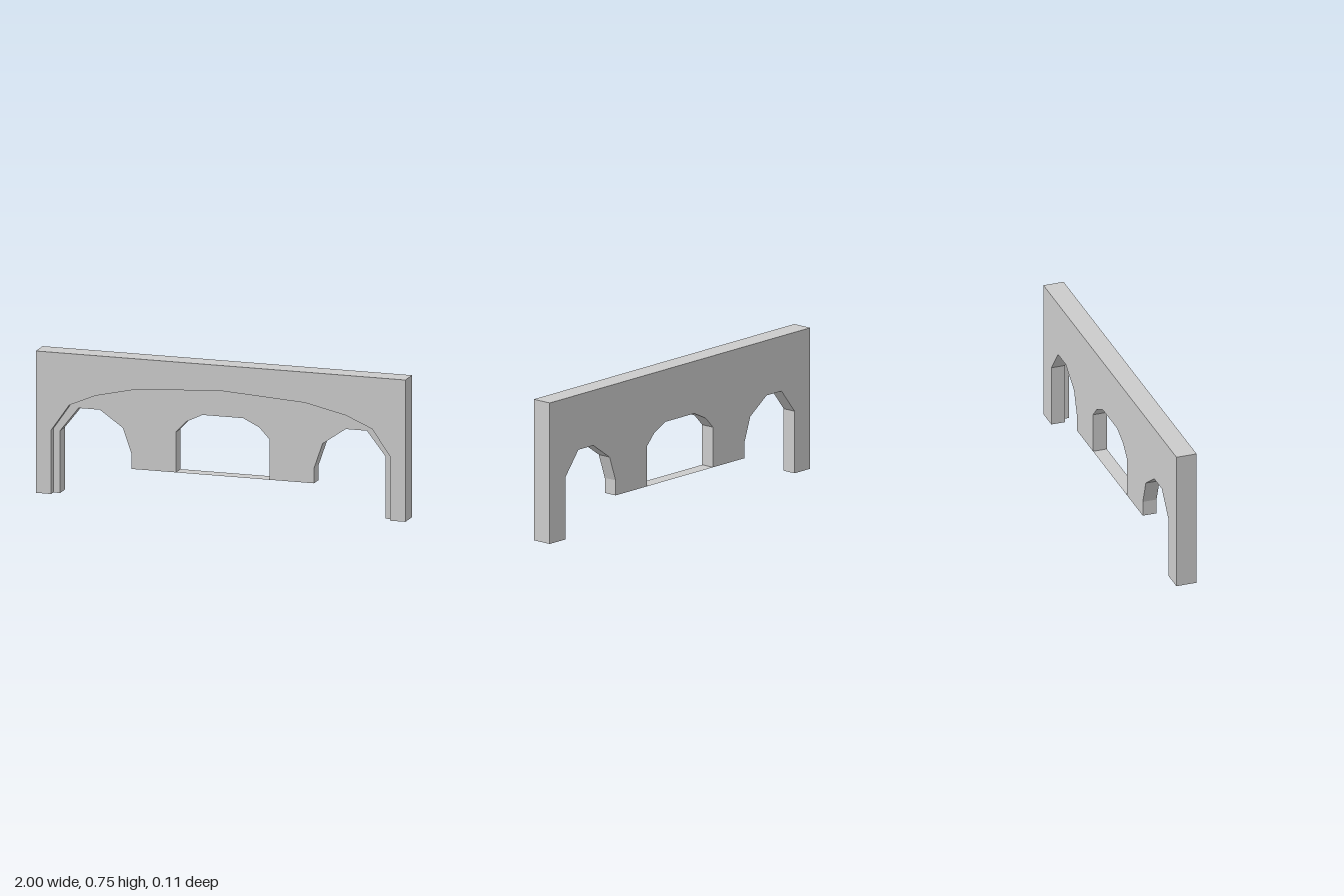
import * as THREE from 'three';

const HEIGHT = 0.75, BACK = -0.055, STEP = 0.02, FRONT = 0.055, SILL = 0.157;

// Extrudes a shape symmetric in x, given the +x half of its outline from the top centre down
function symmetricSlab(name, half, z0, z1, material) {
  const mirrored = half.filter(([x]) => x > 0).map(([x, y]) => [-x, y]).reverse();
  const shape = new THREE.Shape([...half, ...mirrored].map(([x, y]) => new THREE.Vector2(x, y)));
  const geometry = new THREE.ExtrudeGeometry(shape, { depth: z1 - z0, bevelEnabled: false });
  geometry.translate(0, 0, z0);
  const mesh = new THREE.Mesh(geometry, material);
  mesh.name = name;
  return mesh;
}

export function createModel() {
  const group = new THREE.Group();
  group.name = 'archedWall';
  const material = new THREE.MeshStandardMaterial({
    color: 0xcccccc, flatShading: true, side: THREE.DoubleSide,
  });

  // Back wall: outer leg, side archway, hanging pier, central window
  const wall = [
    [1, HEIGHT], [1, 0], [0.88, 0],
    [0.88, 0.33], [0.78, 0.457], [0.665, 0.457], [0.54, 0.37], [0.494, 0.237],
    [0.494, SILL], [0.254, SILL],
    [0.254, 0.37], [0.197, 0.43], [0.11, 0.472],
  ];
  group.add(symmetricSlab('archedPanel', wall, BACK, STEP, material));

  // Raised front layer with one wide shallow arch
  const surround = [
    [1, HEIGHT], [1, 0], [0.917, 0],
    [0.917, 0.338], [0.82, 0.477], [0.678, 0.538], [0.457, 0.588], [0, 0.616],
  ];
  group.add(symmetricSlab('frontSurround', surround, STEP, FRONT, material));

  // Paper-thin sill closing the central window
  const sill = new THREE.Mesh(new THREE.PlaneGeometry(0.508, STEP - BACK), material);
  sill.name = 'windowSill';
  sill.rotation.x = -Math.PI / 2;
  sill.position.set(0, SILL, (STEP + BACK) / 2);
  group.add(sill);

  return group;
}
